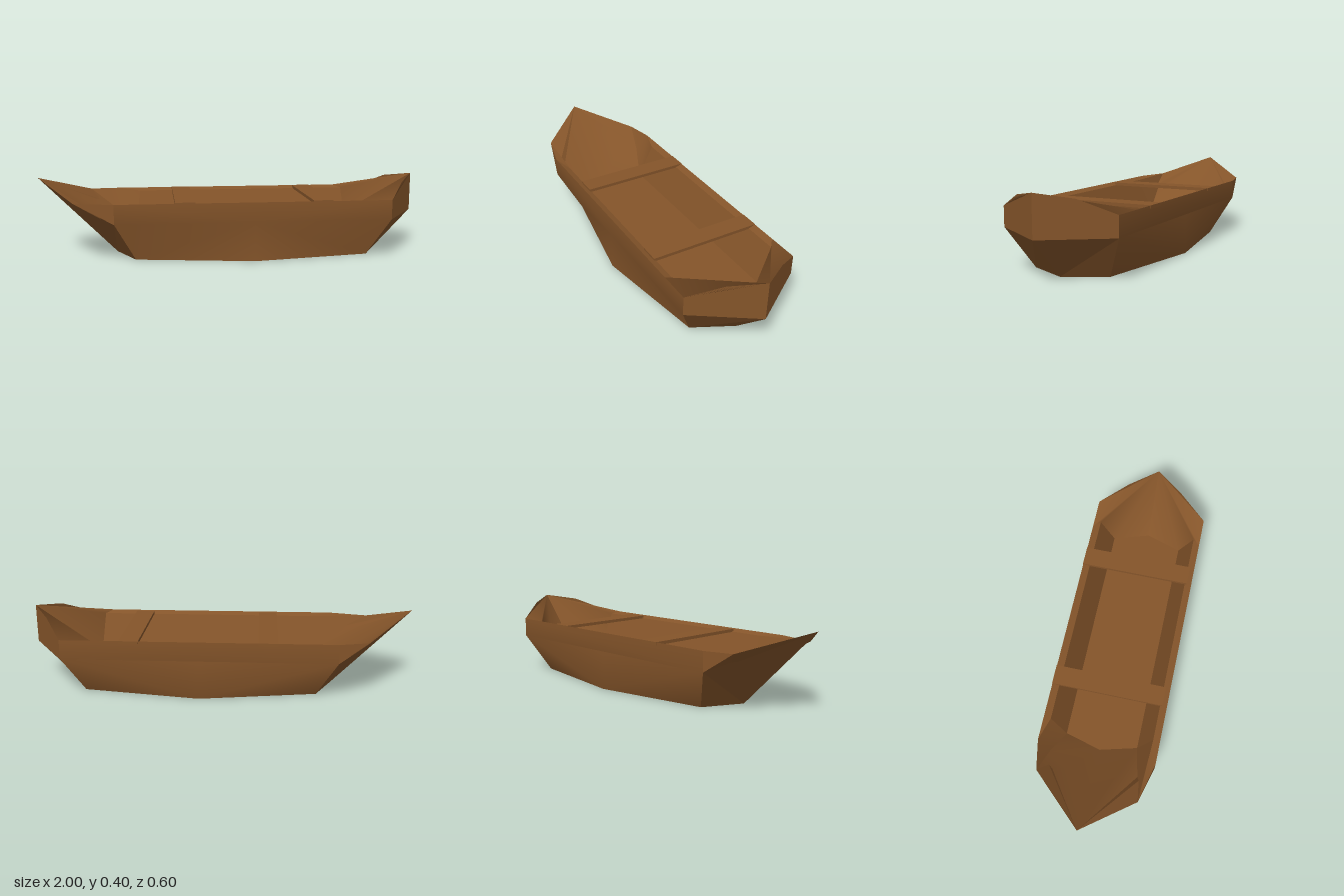
import * as THREE from 'three';
import { toCreasedNormals } from 'three/addons/utils/BufferGeometryUtils.js';

const wood = new THREE.MeshStandardMaterial({ color: 0x85552a, side: THREE.DoubleSide });
wood.name = 'brown wood';

// Sheet from polygons, each fanned into triangles; edges sharper than the crease angle stay hard
function panels(name, polygons, crease = 0.1) {
  const points = [];
  for (const p of polygons) {
    for (let i = 1; i < p.length - 1; i++) points.push(...p[0], ...p[i], ...p[i + 1]);
  }
  const geometry = new THREE.BufferGeometry();
  geometry.setAttribute('position', new THREE.Float32BufferAttribute(points, 3));
  const mesh = new THREE.Mesh(toCreasedNormals(geometry, crease), wood);
  mesh.name = name;
  return mesh;
}

const flip = ([x, y, z]) => [x, y, -z];
const mirrored = (polygons) => polygons.map((p) => p.map(flip).reverse());
const bothSides = (polygons) => [...polygons, ...mirrored(polygons)];

export function createModel() {
  const boat = new THREE.Group();
  boat.name = 'boat';

  // Outer hull corners on the +z side
  const bottomStern = [-0.5, 0, 0.2], bottomMiddle = [0.1, 0, 0.3], bottomBow = [0.7, 0, 0.2];
  const keelStern = [-0.6, 0, 0], keelBow = [0.8, 0, 0];
  const midStern = [-0.6, 0.2, 0.3], midMiddle = [0.1, 0.2, 0.3];
  const midBow = [0.8, 0.2, 0.3], midTip = [1, 0.2, 0];
  const rimStern = [-0.6, 0.3, 0.3], rimBow = [0.8, 0.3, 0.3];
  const bowEdge = [0.9, 0.372, 0.15], bowTip = [1, 0.4, 0], sternTip = [-1, 0.4, 0];

  // Inner corners on the +z side
  const floorStern = [-0.5, 0.11, 0.19], floorBow = [0.69, 0.11, 0.19];
  const floorSternTip = [-0.55, 0.11, 0], floorBowTip = [0.75, 0.11, 0];
  const wallStern = [-0.48, 0.287, 0.265], wallBow = [0.68, 0.287, 0.265];
  const rimInnerBow = [0.64, 0.3, 0.3];

  // Flared stern lips, slightly different on each side
  const lip = [-0.8, 0.3, 0.25], backLip = [-0.75, 0.302, -0.27];

  boat.add(panels('hullBottom', bothSides([
    [keelStern, keelBow, bottomBow, bottomMiddle, bottomStern],
  ])));
  boat.add(panels('hullSides', bothSides([
    [bottomStern, bottomMiddle, midMiddle, midStern],
    [midMiddle, bottomMiddle, bottomBow, midBow],
    [midMiddle, midBow, rimBow, rimStern, midStern],
  ]), 0.6));
  boat.add(panels('hullBow', bothSides([
    [bottomBow, keelBow, midTip, midBow],
    [midBow, midTip, bowTip, bowEdge, rimBow],
  ])));
  boat.add(panels('hullStern', [
    ...bothSides([
      [keelStern, bottomStern, midStern],
      [keelStern, midStern, sternTip],
    ]),
    [midStern, rimStern, lip, sternTip],
    [flip(midStern), sternTip, backLip, flip(rimStern)],
  ]));

  boat.add(panels('floor', bothSides([[floorSternTip, floorStern, floorBow, floorBowTip]])));
  boat.add(panels('innerWalls', bothSides([[floorStern, wallStern, wallBow, floorBow]])));
  boat.add(panels('rim', bothSides([[wallStern, rimStern, rimInnerBow, wallBow]])));

  // Inner bow, rounded over up to the outer edge
  const innerBow = [[bowTip, floorBowTip, floorBow, wallBow, rimInnerBow, rimBow, bowEdge]];
  boat.add(panels('innerBowLeft', innerBow, Math.PI));
  boat.add(panels('innerBowRight', mirrored(innerBow).map((p) => [p[6], ...p.slice(0, 6)]), Math.PI));

  // Inner stern: smooth on the +z side, dented on the -z side
  const dent = [-0.7, 0.22, -0.15], backFold = [-0.63, 0.21, -0.24];
  const backFloor = flip(floorStern), backWall = flip(wallStern), backRim = flip(rimStern);
  boat.add(panels('innerStern', [
    [sternTip, lip, floorStern, floorSternTip],
    [lip, rimStern, wallStern, floorStern],
    [floorSternTip, dent, sternTip],
    [sternTip, dent, backLip],
    [dent, backFold, backLip],
    [floorSternTip, backFloor, backFold, dent],
    [backFloor, backWall, backRim, backFold],
    [backFold, backRim, backLip],
  ], 0.6));

  // Two plank benches across the hull
  for (const x of [-0.25, 0.45]) {
    const bench = new THREE.Mesh(new THREE.BoxGeometry(0.1, 0.016, 0.577), wood);
    bench.name = 'bench';
    bench.position.set(x, 0.293, -0.0135);
    boat.add(bench);
  }
  return boat;
}
